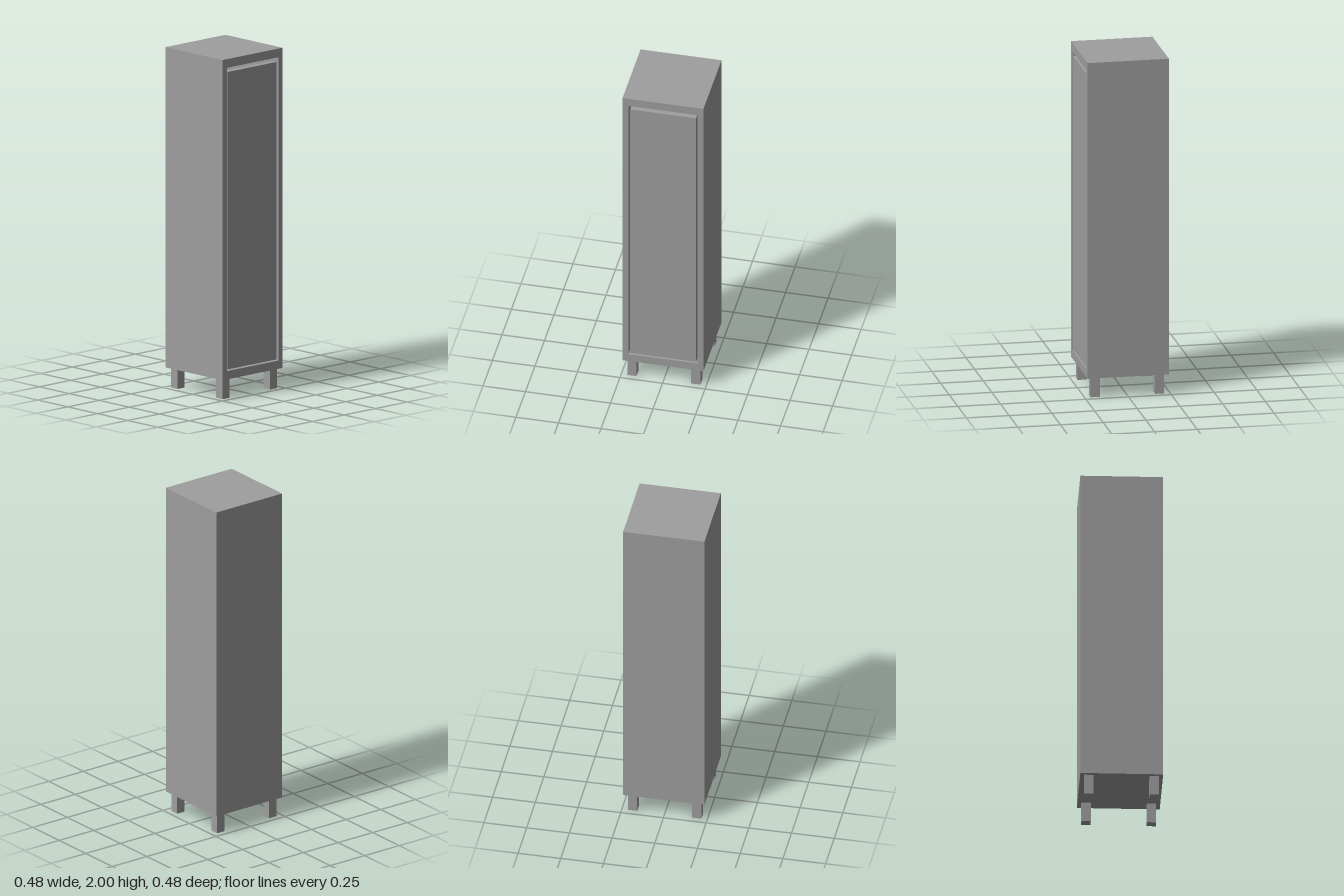
import * as THREE from 'three';

const material = new THREE.MeshStandardMaterial({ color: 0x9e9e9e, flatShading: true });

// Box given by its lower and upper bounds on each axis
function box(name, [x0, x1], [y0, y1], [z0, z1]) {
  const mesh = new THREE.Mesh(new THREE.BoxGeometry(x1 - x0, y1 - y0, z1 - z0), material);
  mesh.position.set((x0 + x1) / 2, (y0 + y1) / 2, (z0 + z1) / 2);
  mesh.name = name;
  return mesh;
}

function rectangle(PathType, halfWidth, bottom, top) {
  return new PathType([
    new THREE.Vector2(-halfWidth, bottom),
    new THREE.Vector2(halfWidth, bottom),
    new THREE.Vector2(halfWidth, top),
    new THREE.Vector2(-halfWidth, top),
  ]);
}

export function createModel() {
  const group = new THREE.Group();
  group.name = 'cabinet';
  const half = 0.238, bottom = 0.118, top = 2, wall = 0.034;

  // Hollow carcass: a rectangular tube running along x, open at the door side
  const outline = rectangle(THREE.Shape, half, bottom, top);
  outline.holes.push(rectangle(THREE.Path, half - wall, 0.167, 1.949));
  const carcassGeometry = new THREE.ExtrudeGeometry(outline, { depth: 2 * half - wall, bevelEnabled: false });
  carcassGeometry.rotateY(Math.PI / 2);
  const carcass = new THREE.Mesh(carcassGeometry, material);
  carcass.position.x = -half + wall;
  carcass.name = 'carcass';
  group.add(carcass);

  // Panel closing the side opposite the door
  group.add(box('backPanel', [-half, -half + wall], [bottom, top], [-half, half]));

  // Inset door with a narrow gap all round, wider at the top
  group.add(box('door', [half - 0.037, half - 0.003], [0.175, 1.923], [-0.194, 0.194]));

  // Four square legs
  for (const x of [-1, 1]) {
    for (const z of [-1, 1]) {
      const leg = box('leg', [-0.027, 0.027], [0, bottom], [-0.027, 0.027]);
      leg.position.x = x * 0.188;
      leg.position.z = z * 0.188;
      group.add(leg);
    }
  }
  return group;
}
